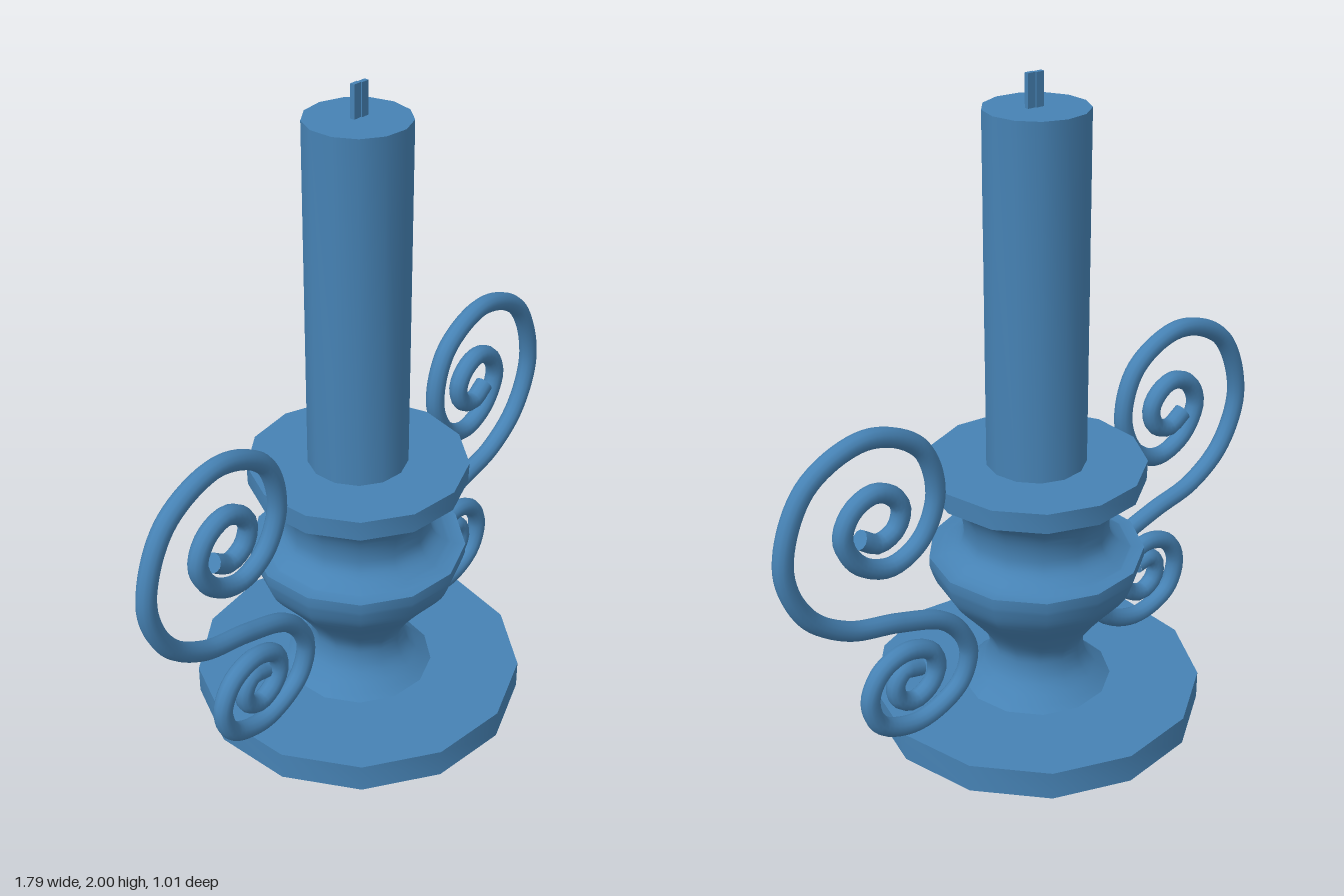
import * as THREE from 'three';
import { toCreasedNormals } from 'three/addons/utils/BufferGeometryUtils.js';

const SIDES = 13;
const AXIS_X = -0.015;
const material = new THREE.MeshStandardMaterial({ color: 0x4682b4 });

const points2 = (list) => list.map(([x, y]) => new THREE.Vector2(x, y));
const smooth = (list, n) => new THREE.SplineCurve(points2(list)).getPoints(n);

function addMesh(parent, name, geometry) {
  const mesh = new THREE.Mesh(geometry, material);
  mesh.name = name;
  parent.add(mesh);
  return mesh;
}

// Thirteen-sided turned part with one corner on +x
function turned(parent, name, profile) {
  const lathe = new THREE.LatheGeometry(profile, SIDES, Math.PI / 2);
  const mesh = addMesh(parent, name, toCreasedNormals(lathe, 0.6));
  mesh.position.x = AXIS_X;
}

// Double scroll: upper spiral from its inner tip, S-bend, lower spiral to its inner tip
const SCROLL = [
  [0.62, 0.81], [0.56, 0.775], [0.5, 0.8], [0.48, 0.86], [0.51, 0.91], [0.57, 0.935],
  [0.64, 0.905], [0.675, 0.83], [0.625, 0.73], [0.52, 0.685], [0.415, 0.735], [0.36, 0.865],
  [0.41, 1.025], [0.585, 1.105], [0.78, 1.025], [0.865, 0.81], [0.805, 0.635], [0.675, 0.535],
  [0.505, 0.49], [0.355, 0.435], [0.285, 0.365], [0.255, 0.28], [0.295, 0.18], [0.445, 0.117],
  [0.58, 0.165], [0.615, 0.265], [0.57, 0.35], [0.48, 0.38], [0.395, 0.345], [0.375, 0.28],
  [0.405, 0.225], [0.465, 0.2], [0.515, 0.23], [0.525, 0.28], [0.495, 0.32], [0.435, 0.31],
];

function scroll(name, side) {
  const group = new THREE.Group();
  group.name = name;
  const path = new THREE.CatmullRomCurve3(
    SCROLL.map(([x, y]) => new THREE.Vector3(side * x, y, 0)));
  addMesh(group, name + 'Tube', new THREE.TubeGeometry(path, 180, 0.029, 12));
  // Flat caps on both tips
  for (const t of [0, 1]) {
    const cap = addMesh(group, name + 'Cap', new THREE.CircleGeometry(0.029, 12));
    const outward = path.getTangentAt(t).multiplyScalar(t ? 1 : -1);
    cap.position.copy(path.getPointAt(t));
    cap.quaternion.setFromUnitVectors(new THREE.Vector3(0, 0, 1), outward);
  }
  group.position.x = -0.005;
  return group;
}

export function createModel() {
  const model = new THREE.Group();
  model.name = 'candlestick';

  // Base disc
  turned(model, 'base', points2([[0, 0], [0.51, 0], [0.51, 0.09], [0, 0.09]]));

  // Stem: flared foot, bowl, rim, waist and drip cup
  turned(model, 'stem', [
    ...smooth([[0.235, 0.088], [0.168, 0.15], [0.147, 0.21], [0.157, 0.26],
      [0.205, 0.33], [0.285, 0.425], [0.312, 0.47], [0.328, 0.52]], 20),
    ...points2([[0.328, 0.55], [0.29, 0.55]]),
    ...smooth([[0.285, 0.552], [0.243, 0.578], [0.222, 0.615], [0.228, 0.68],
      [0.262, 0.74], [0.328, 0.782]], 14),
    ...points2([[0.33, 0.845], [0, 0.845]]),
  ]);

  // Candle
  turned(model, 'candle', points2([[0, 0.84], [0.15, 0.84], [0.15, 1.905], [0, 1.905]]));

  // Flat wick of two strands
  const wick = new THREE.Group();
  wick.name = 'wick';
  for (const side of [-1, 1]) {
    const strand = addMesh(wick, 'wickStrand', new THREE.BoxGeometry(0.026, 0.1, 0.014));
    strand.position.set(-0.008 + side * 0.013, 1.95, side * 0.002);
  }
  model.add(wick);

  // Scroll handles
  model.add(scroll('leftScroll', 1), scroll('rightScroll', -1));

  return model;
}
